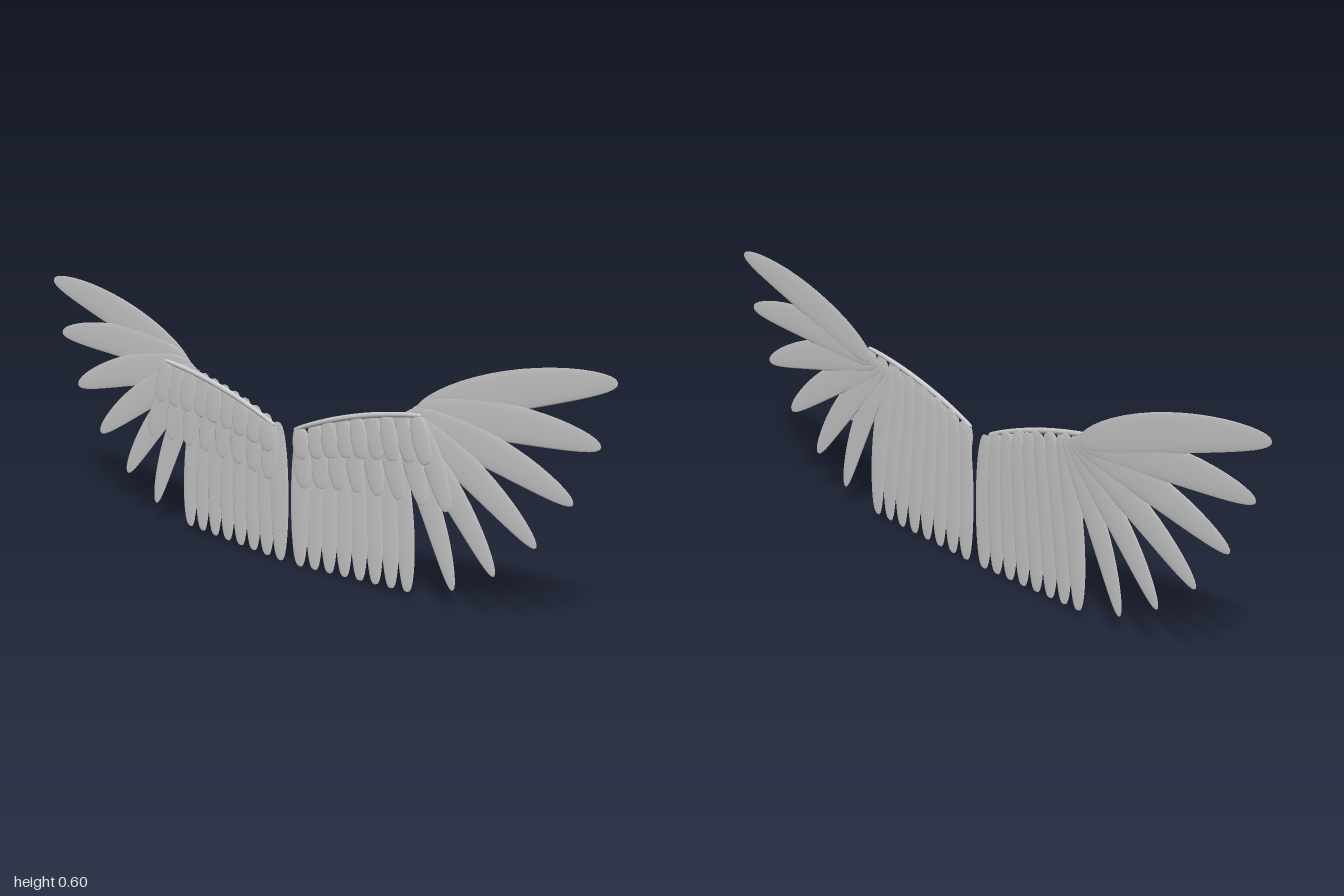
import * as THREE from 'three';

const plumage = new THREE.MeshStandardMaterial({ color: 0xcccccc });
plumage.name = 'pale grey plumage';

const lerp = THREE.MathUtils.lerp;

// Flat lens-shaped blade from root to tip; side is +1 or -1, bow bends it outwards and up
function feather(name, side, root, tip, z, { width, thick = 0.0025, bow = 0, taper = 0.3, full = 0.75 }) {
  const geometry = new THREE.SphereGeometry(1, 16, 20);
  const p = geometry.attributes.position;
  const a = new THREE.Vector2(root[0] * side, root[1]);
  const b = new THREE.Vector2(tip[0] * side, tip[1]);
  const d = b.clone().sub(a).normalize();
  const n = new THREE.Vector2(d.y, -d.x);
  for (let i = 0; i < p.count; i++) {
    const y = p.getY(i);
    const t = (y + 1) / 2;
    const r = Math.sqrt(Math.max(1 - y * y, 0));
    const swell = r > 1e-5 ? Math.pow(r, full - 1) : 0;
    const across = p.getX(i) * swell * width * (1 + taper * (0.5 - t)) - side * bow * 4 * t * (1 - t);
    p.setXYZ(i,
      lerp(a.x, b.x, t) + n.x * across,
      lerp(a.y, b.y, t) + n.y * across,
      z + p.getZ(i) * swell * thick);
  }
  geometry.computeVertexNormals();
  const mesh = new THREE.Mesh(geometry, plumage);
  mesh.name = name;
  return mesh;
}

// Height of the leading edge at distance x from the middle
function edgeY(x) {
  const t = (x - 0.04) / 0.42;
  return 0.345 + 0.097 * t + 0.06 * t * (1 - t);
}

const primaryTips = [[0.545, 0.05], [0.67, 0.11], [0.79, 0.2], [0.89, 0.315], [0.96, 0.45], [0.998, 0.59]];

function createWing(side) {
  const wing = new THREE.Group();
  wing.name = side > 0 ? 'leftWing' : 'rightWing';

  // Inner flight feathers, hanging almost straight down
  for (let i = 0; i < 8; i++) {
    const t = i / 7;
    const x = lerp(0.045, 0.33, t);
    const tip = [lerp(0.036, 0.4, t), 0.001 + 0.014 * t];
    wing.add(feather('secondaryFeather', side, [x, edgeY(x)], tip, -0.0015 - 0.0085 * t,
      { width: 0.034, bow: 0.018 * t - 0.002, taper: 0.15, full: 0.65 }));
  }

  // Outer flight feathers, fanned out from the wrist
  primaryTips.forEach((tip, i) => {
    const x = 0.345 + 0.012 * i;
    wing.add(feather('primaryFeather', side, [x, edgeY(x) - 0.004], tip, -0.0115 - 0.0015 * i,
      { width: 0.036 + 0.0018 * i, bow: 0.018, taper: 0.25, full: 0.9 }));
  });

  // Longer covert row
  for (let i = 0; i < 8; i++) {
    const t = i / 7;
    const x = lerp(0.055, 0.43, t);
    const tip = [lerp(0.065, 0.54, t * (0.85 + 0.15 * t)), lerp(0.203, 0.235, t) + 0.04 * t * (1 - t)];
    wing.add(feather('longCovert', side, [x, edgeY(x)], tip, 0.011 - 0.007 * t,
      { width: 0.033, bow: 0.006 * t, taper: 0.1, full: 0.7 }));
  }

  // Short covert row in front
  for (let i = 0; i < 9; i++) {
    const t = i / 8;
    const x = lerp(0.06, 0.45, t);
    const tip = [lerp(0.062, 0.485, t), lerp(0.275, 0.335, t) + 0.03 * t * (1 - t)];
    wing.add(feather('shortCovert', side, [x, edgeY(x)], tip, 0.0185 - 0.002 * (i % 2),
      { width: 0.028, taper: 0, full: 0.65 }));
  }

  // Slim rim along the leading edge
  wing.add(feather('leadingEdge', side, [0.035, 0.342], [0.465, 0.443], 0.016,
    { width: 0.007, thick: 0.006, bow: 0.015, taper: 0, full: 0.3 }));
  return wing;
}

export function createModel() {
  const model = new THREE.Group();
  model.name = 'wings';
  for (const side of [1, -1]) model.add(createWing(side));
  return model;
}
